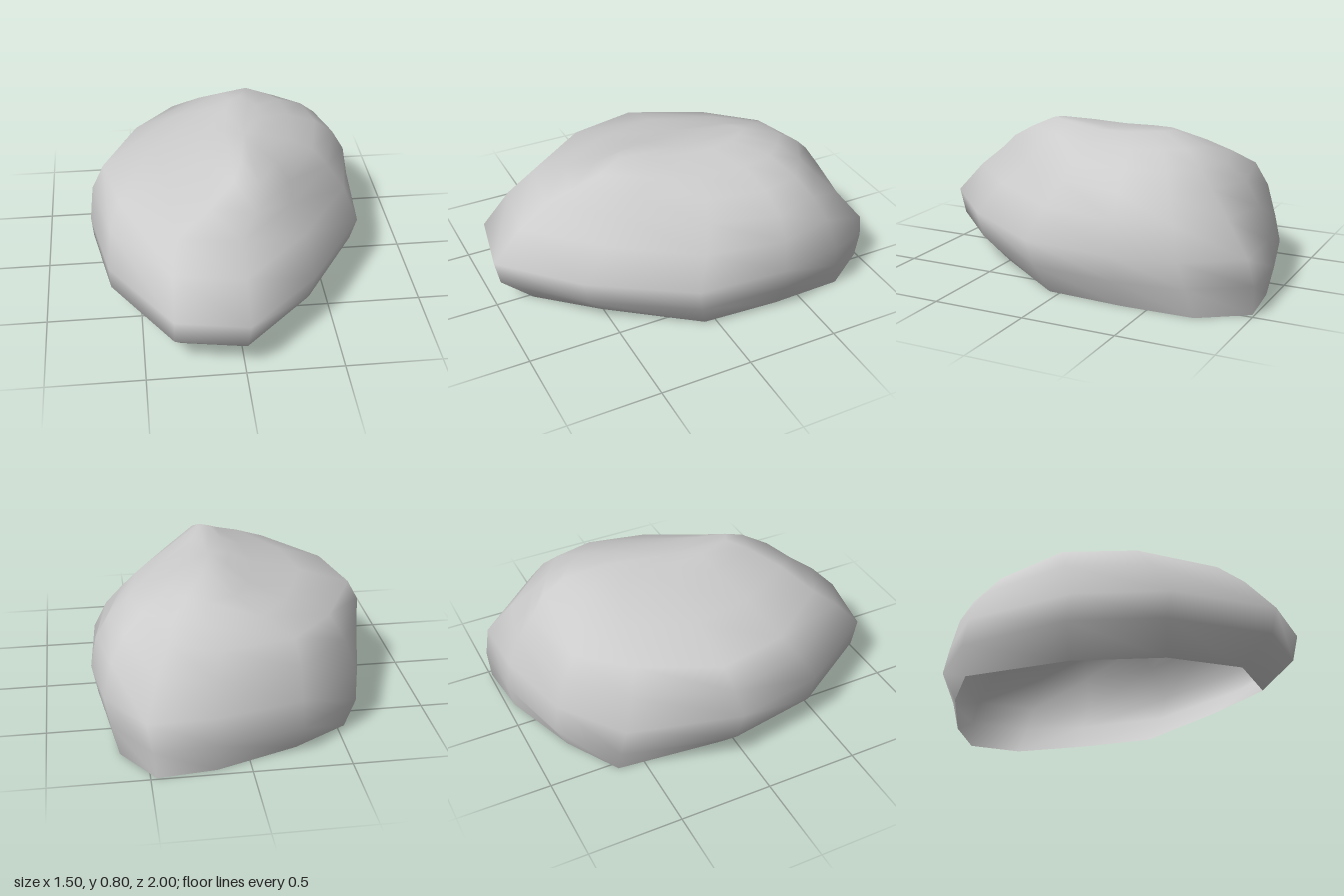
import * as THREE from 'three';

// Widest outline of the boulder as [x, z], starting at the front tip
const WAIST = [
  [0.02, 1], [-0.35, 0.93], [-0.66, 0.45], [-0.75, -0.04], [-0.6, -0.64], [-0.27, -0.88],
  [0.17, -0.99], [0.51, -1], [0.7, -0.71], [0.75, -0.36], [0.715, 0.13], [0.39, 0.64],
];

// Open rim on the ground, same order
const RIM = [
  [0.02, 0.8], [-0.31, 0.74], [-0.52, 0.4], [-0.6, -0.07], [-0.54, -0.64], [-0.25, -0.81],
  [0.17, -0.96], [0.47, -0.99], [0.635, -0.75], [0.645, -0.36], [0.62, 0.06], [0.28, 0.51],
];

// How far each corner of the upper rock is worn back towards the middle, same order
const WEAR = [0, 0, 0, 0, 0.12, 0, 0, 0.14, 0.04, 0, 0.1, 0.08];

// Levels above the rim: [y, minX, maxX, minZ, maxZ]
const LEVELS = [
  [0.15, -0.74, 0.72, -1, 0.97],
  [0.29, -0.75, 0.75, -0.97, 1],
  [0.46, -0.73, 0.72, -0.91, 0.84],
  [0.58, -0.665, 0.65, -0.83, 0.69],
  [0.67, -0.39, 0.54, -0.74, 0.57],
  [0.745, -0.14, 0.38, -0.62, 0.43],
  [0.8, -0.01, 0.21, -0.42, 0.31],
];

// Fit the waist outline into a level's extents, wear its corners and dip the crest
function fitRing([y, x0, x1, z0, z1]) {
  const wearAmount = THREE.MathUtils.clamp((y - 0.29) / 0.29, 0, 1);
  const crest = y > 0.7 ? 0.022 : 0;
  return WAIST.map(([wx, wz], i) => {
    const keep = 1 - WEAR[i] * wearAmount;
    const x = THREE.MathUtils.lerp((x0 + x1) / 2, THREE.MathUtils.mapLinear(wx, -0.75, 0.75, x0, x1), keep);
    const z = THREE.MathUtils.lerp((z0 + z1) / 2, THREE.MathUtils.mapLinear(wz, -1, 1, z0, z1), keep);
    return [x, y - crest * Math.max(0, 1 - Math.abs(z + 0.05) / 0.36), z];
  });
}

// Skin the rings and close the top with a slightly sunken centre
function shellGeometry(rings, top) {
  const n = rings[0].length;
  const index = [];
  for (let r = 0; r < rings.length; r++) {
    for (let i = 0; i < n; i++) {
      const a = r * n + i;
      const b = r * n + (i + 1) % n;
      if (r < rings.length - 1) index.push(a, a + n, b + n, a, b + n, b);
      else index.push(a, rings.length * n, b);
    }
  }
  const geometry = new THREE.BufferGeometry();
  const points = [...rings.flat(), top].flat();
  geometry.setAttribute('position', new THREE.Float32BufferAttribute(points, 3));
  geometry.setIndex(index);
  geometry.computeVertexNormals();
  return geometry;
}

export function createModel() {
  const group = new THREE.Group();
  group.name = 'boulder';
  const rings = [RIM.map(([x, z]) => [x, 0, z]), ...LEVELS.map(fitRing)];
  const material = new THREE.MeshStandardMaterial({ color: 0xcccccc, side: THREE.DoubleSide });
  const shell = new THREE.Mesh(shellGeometry(rings, [0.1, 0.77, -0.04]), material);
  shell.name = 'rockShell';
  group.add(shell);
  return group;
}
